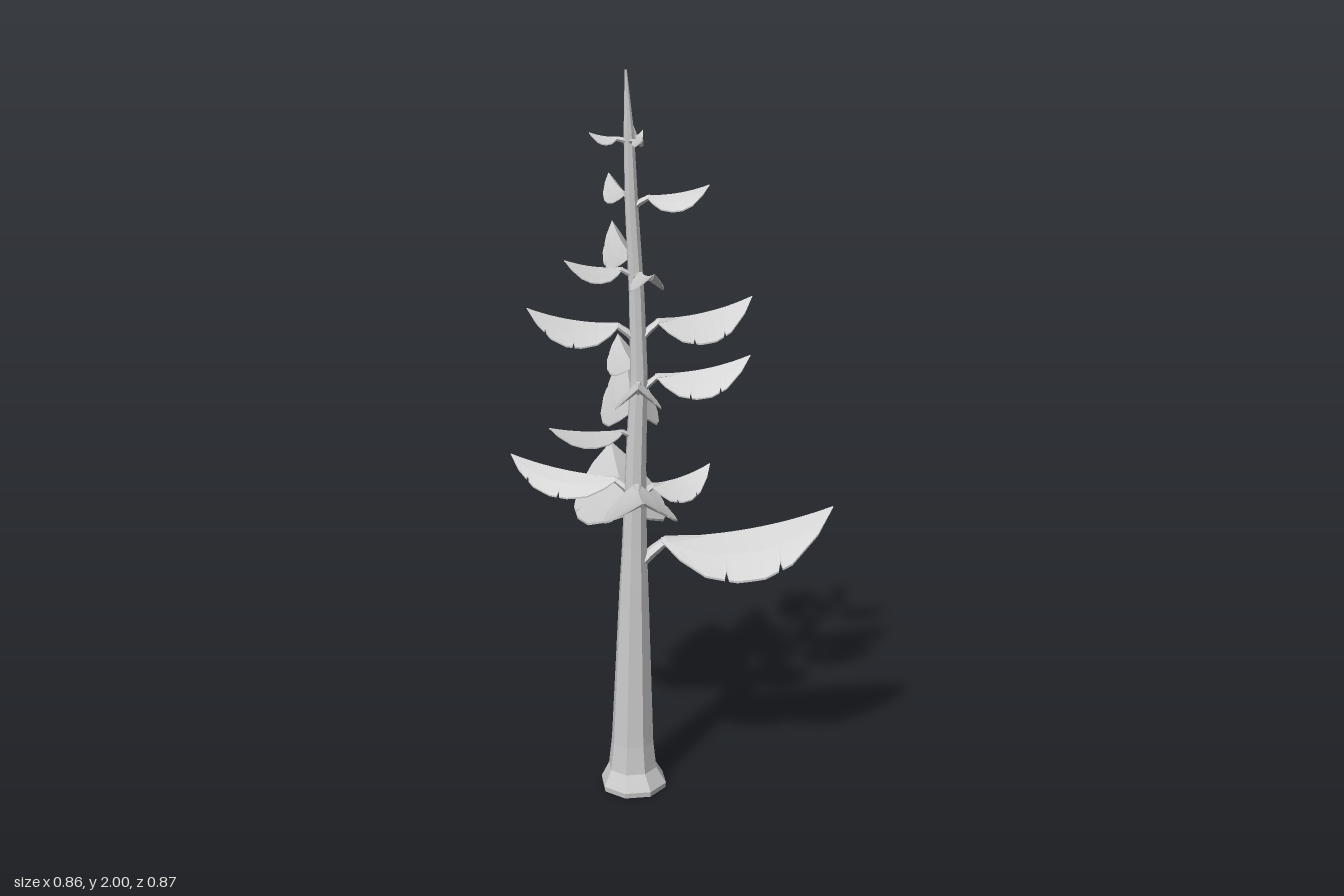
import * as THREE from 'three';

const material = new THREE.MeshStandardMaterial({ color: 0xcccccc, flatShading: true, side: THREE.DoubleSide });

// Skin a list of rings (counter-clockwise about the path) and close both ends
function loft(rings) {
  const pos = [];
  const tri = (...pts) => pts.forEach((p) => pos.push(p.x, p.y, p.z));
  const n = rings[0].length;
  const centre = (ring) => ring.reduce((s, p) => s.add(p), new THREE.Vector3()).divideScalar(n);
  const c0 = centre(rings[0]);
  const c1 = centre(rings.at(-1));
  for (let k = 0; k < n; k++) {
    const m = (k + 1) % n;
    for (let i = 0; i < rings.length - 1; i++) {
      const [a, b] = [rings[i], rings[i + 1]];
      tri(a[k], a[m], b[m]);
      tri(a[k], b[m], b[k]);
    }
    tri(c0, rings[0][m], rings[0][k]);
    tri(c1, rings.at(-1)[k], rings.at(-1)[m]);
  }
  const geo = new THREE.BufferGeometry();
  geo.setAttribute('position', new THREE.Float32BufferAttribute(pos, 3));
  geo.computeVertexNormals();
  return geo;
}

function mesh(name, geo) {
  const m = new THREE.Mesh(geo, material);
  m.name = name;
  return m;
}

// Linear lookup of column c in a table sorted by its first column
function lookup(table, t, c) {
  let i = 1;
  while (i < table.length - 1 && table[i][0] < t) i++;
  const [a, b] = [table[i - 1], table[i]];
  return THREE.MathUtils.lerp(a[c], b[c], THREE.MathUtils.clamp((t - a[0]) / (b[0] - a[0]), 0, 1));
}

// Trunk: height, radius, centre x, centre z
const TRUNK = [
  [0, 0.092, -0.115, 0.085], [0.015, 0.094, -0.115, 0.085], [0.06, 0.069, -0.118, 0.085],
  [0.14, 0.06, -0.118, 0.087], [0.6, 0.041, -0.112, 0.09], [0.72, 0.035, -0.11, 0.09],
  [0.95, 0.029, -0.105, 0.088], [1.2, 0.024, -0.095, 0.087], [1.42, 0.021, -0.1, 0.087],
  [1.65, 0.018, -0.112, 0.088], [1.84, 0.014, -0.118, 0.089], [2, 0.003, -0.125, 0.09],
];

// Leaves: tip x, tip y, tip z, half width, total height
const LEAVES = [
  [0.43, 0.82, 0.13, 0.12, 0.17], [-0.11, 0.85, -0.435, 0.13, 0.14],
  [-0.43, 0.955, -0.045, 0.062, 0.095], [-0.13, 0.965, 0.43, 0.095, 0.1],
  [0.105, 0.93, 0.04, 0.052, 0.085], [-0.08, 1.16, -0.325, 0.08, 0.155],
  [-0.34, 1.08, 0.135, 0.032, 0.06], [0.2, 1.25, 0.11, 0.055, 0.105],
  [-0.13, 1.235, 0.333, 0.06, 0.085], [-0.12, 1.25, -0.16, 0.05, 0.08],
  [-0.385, 1.385, 0.055, 0.06, 0.095], [0.21, 1.4, 0.07, 0.062, 0.11],
  [-0.08, 1.515, 0.275, 0.042, 0.06], [-0.13, 1.56, -0.19, 0.047, 0.1],
  [-0.29, 1.52, 0.105, 0.032, 0.06], [0.085, 1.71, 0.125, 0.04, 0.065],
  [-0.15, 1.71, -0.088, 0.034, 0.065], [-0.22, 1.845, 0.09, 0.02, 0.03],
  [-0.095, 1.84, 0.185, 0.01, 0.025], [-0.1, 1.855, 0.0, 0.016, 0.035],
  [-0.08, 1.845, 0.07, 0.012, 0.03],
];

// Blade outline: position along the rib, share of the half width
const OUTLINE = [
  [0, 0.1], [0.1, 0.48], [0.24, 0.82], [0.42, 0.98], [0.58, 1], [0.74, 0.86], [0.9, 0.46], [1, 0.02],
];
// Torn edges: position along the rib, side
const NOTCHES = [[0.36, -1], [0.5, 1], [0.67, -1], [0.8, 1]];

function createTrunk() {
  const sides = 8;
  const rings = TRUNK.map(([y, r, cx, cz]) => Array.from({ length: sides }, (_, k) => {
    const a = ((k + 0.5) / sides) * Math.PI * 2;
    return new THREE.Vector3(cx + r * Math.cos(a), y, cz - r * Math.sin(a));
  }));
  return mesh('trunk', loft(rings));
}

function createLeaf([tx, ty, tz, half, height], index) {
  const group = new THREE.Group();
  group.name = `leaf${index + 1}`;

  const rootY = ty - height;
  const root = new THREE.Vector3(lookup(TRUNK, rootY, 2), rootY, lookup(TRUNK, rootY, 3));
  const dir = new THREE.Vector3(tx - root.x, 0, tz - root.z);
  const reach = dir.length();
  dir.normalize();
  const side = new THREE.Vector3(0, 1, 0).cross(dir);
  const start = Math.min(0.02 + half * 0.45, reach * 0.3);
  const ribY = (t) => ty - height * 0.45 * (1 - t ** 2.2);
  const at = (d, y, s) => root.clone().addScaledVector(dir, d).addScaledVector(side, s).setY(y);

  // Roof-shaped blade with a thicker midrib underneath
  const stations = OUTLINE.map(([t]) => [t, 0]);
  const torn = half > 0.04;
  if (torn) NOTCHES.forEach(([t, s]) => stations.push([t - 0.012, 0], [t, s], [t + 0.012, 0]));
  stations.sort((a, b) => a[0] - b[0]);
  const thick = 0.004 + half * 0.05;
  const rings = stations.map(([t, notch]) => {
    const d = start + (reach - start) * t;
    const w = lookup(OUTLINE, t, 1);
    const y = ribY(t);
    const drop = height * 0.6;
    const th = thick * (0.3 + 0.7 * Math.min(1, w * 2));
    const point = (u, under) => {
      const cut = Math.abs(u) === 1 && Math.sign(u) === notch ? 0.84 : 1;
      const f = u * w * cut;
      return at(d, y - drop * Math.abs(f) * (0.82 + 0.18 * Math.abs(f)) - under, f * half);
    };
    return [
      point(1, 0), point(0.5, 0), point(0, 0), point(-0.5, 0), point(-1, 0),
      point(-1, th * 0.6), point(-0.5, th), point(-0.08, th),
      point(0, th * 2.2), point(0.08, th), point(0.5, th), point(1, th * 0.6),
    ];
  });
  group.add(mesh('blade', loft(rings)));

  // Stalk rising from the trunk into the midrib
  const r = 0.004 + half * 0.1;
  const startY = ribY(0);
  const path = [
    [0, rootY, r * 1.6],
    [start * 0.6, (rootY + startY) / 2, r * 1.3],
    [start * 1.15, startY - r * 0.8, r],
    [start + (reach - start) * 0.35, ribY(0.35) - thick * 1.2, r * 0.35],
  ];
  const stalk = path.map(([d, y, rad]) => Array.from({ length: 6 }, (_, k) => {
    const a = (k / 6) * Math.PI * 2;
    return at(d, y + rad * Math.sin(a), rad * Math.cos(a));
  }));
  group.add(mesh('stalk', loft(stalk)));
  return group;
}

export function createModel() {
  const model = new THREE.Group();
  model.name = 'tree';
  model.add(createTrunk());
  LEAVES.forEach((leaf, i) => model.add(createLeaf(leaf, i)));
  return model;
}
